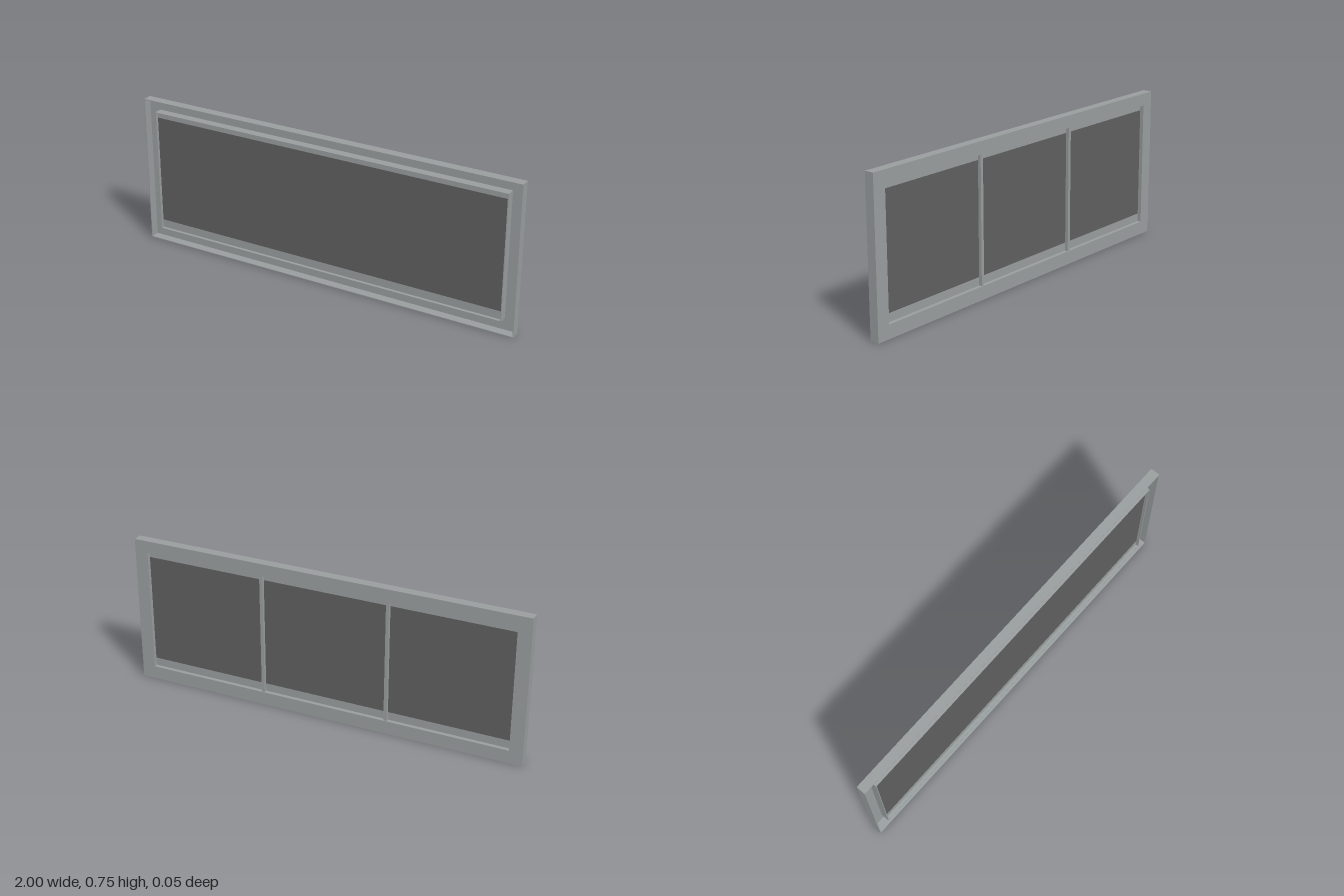
import * as THREE from 'three';

const W = 2, H = 0.752, D = 0.047, T = 0.004;   // overall size and sheet thickness
const OW = 1.866, Y0 = 0.067, Y1 = 0.69;        // opening

// Rectangular ring extruded along z
function ring(w, y0, y1, border, z0, z1, material, name) {
  const rect = (P, hw, a, b) => {
    const p = new P();
    p.moveTo(-hw, a); p.lineTo(hw, a); p.lineTo(hw, b); p.lineTo(-hw, b); p.closePath();
    return p;
  };
  const shape = rect(THREE.Shape, w / 2, y0, y1);
  shape.holes.push(rect(THREE.Path, w / 2 - border[0], y0 + border[1], y1 - border[2]));
  const geo = new THREE.ExtrudeGeometry(shape, { depth: z1 - z0, bevelEnabled: false });
  geo.translate(0, 0, z0);
  const mesh = new THREE.Mesh(geo, material);
  mesh.name = name;
  return mesh;
}

function box(w, h, d, x, y, z, material, name) {
  const mesh = new THREE.Mesh(new THREE.BoxGeometry(w, h, d), material);
  mesh.position.set(x, y, z);
  mesh.name = name;
  return mesh;
}

export function createModel() {
  const steel = new THREE.MeshStandardMaterial({ color: 0x989d9d });
  steel.name = 'steel grey';
  const dark = new THREE.MeshStandardMaterial({ color: 0x5f5f5f });
  dark.name = 'dark grey';

  const model = new THREE.Group();
  model.name = 'ventGrille';
  const back = -D / 2, front = D / 2;

  // Face plate, with a thin flange round its rim and a neck round the opening
  model.add(ring(W, 0, H, [(W - OW) / 2, Y0, H - Y1], back, back + T, steel, 'facePlate'));
  model.add(ring(W, 0, H, [T, T, T], back + T, front, steel, 'outerFlange'));
  model.add(ring(OW + 2 * T, Y0 - T, Y1 + T, [T, T, T], back + T, front, steel, 'neck'));

  // Close-set slats filling the opening
  const slats = new THREE.Group();
  slats.name = 'slats';
  const s0 = 0.108, s1 = 0.662, count = 55, pitch = (s1 - s0) / count;
  for (let i = 0; i < count; i++) {
    slats.add(box(OW, pitch, 0.012, 0, s0 + (i + 0.5) * pitch, 0.002, dark, 'slat'));
  }
  model.add(slats);

  // Plain strips above and below the slats
  model.add(box(OW, s0 - Y0, 0.012, 0, (s0 + Y0) / 2, 0.002, steel, 'bottomStrip'));
  model.add(box(OW, Y1 - s1, 0.012, 0, (Y1 + s1) / 2, 0.002, steel, 'topStrip'));

  // Upright support bars
  for (const side of [-1, 1]) {
    model.add(box(0.016, Y1 - Y0, 0.016, side * 0.321, (Y0 + Y1) / 2, -0.012, steel, 'supportBar'));
  }
  return model;
}
